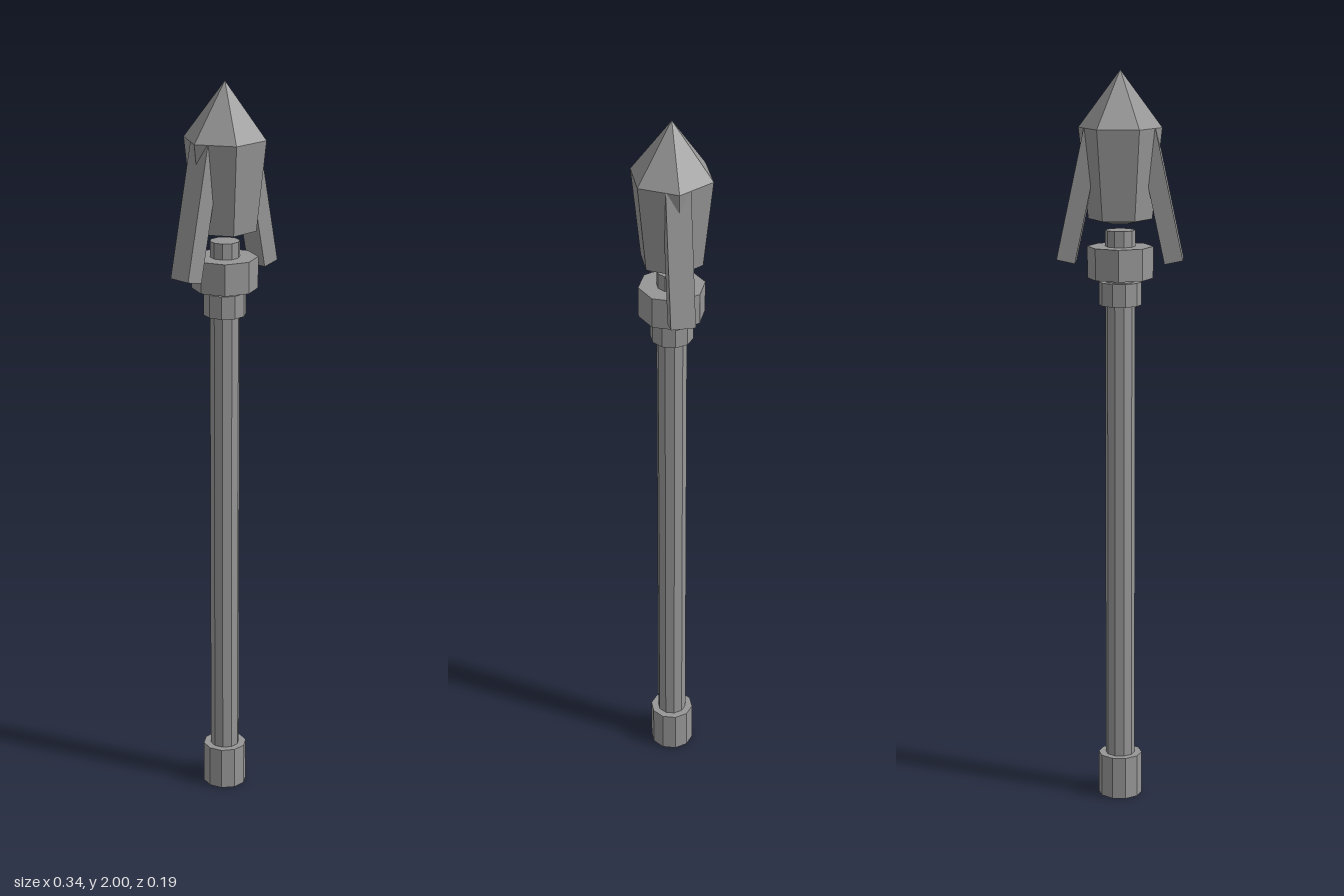
import * as THREE from 'three';

const steel = new THREE.MeshStandardMaterial({ color: 0x969696, flatShading: true });
steel.name = 'grey steel';

export function createModel() {
  const group = new THREE.Group();
  group.name = 'spear';

  const add = (name, geometry, x = 0, y = 0) => {
    const mesh = new THREE.Mesh(geometry, steel);
    mesh.name = name;
    mesh.position.set(x, y, 0);
    group.add(mesh);
    return mesh;
  };

  // Faceted prism between two heights, with a corner on the x axis
  const prism = (name, radius, y0, y1, sides) =>
    add(name, new THREE.CylinderGeometry(radius, radius, y1 - y0, sides, 1, false, Math.PI / 2), 0, (y0 + y1) / 2);

  // Pole and its rings
  prism('shaft', 0.04, 0.02, 1.58, 10);
  prism('buttCap', 0.06, 0, 0.118, 10);
  prism('lowerCollar', 0.057, 1.38, 1.442, 10);
  prism('upperCollar', 0.088, 1.452, 1.537, 8);

  // Six-sided head: shallow underside, flared body and pointed tip
  const profile = [[0, 1.6], [0.04, 1.6], [0.085, 1.61], [0.111, 1.85], [0, 2]]
    .map(([r, y]) => new THREE.Vector2(r, y));
  add('head', new THREE.LatheGeometry(profile, 6, Math.PI / 2));

  // Swept-back barbs on both sides
  for (const side of [1, -1]) {
    const barb = add(side > 0 ? 'leftBarb' : 'rightBarb',
      new THREE.BoxGeometry(0.05, 0.355, 0.064), side * 0.1065, 1.6714);
    barb.rotation.z = side * THREE.MathUtils.degToRad(12);
  }

  return group;
}
